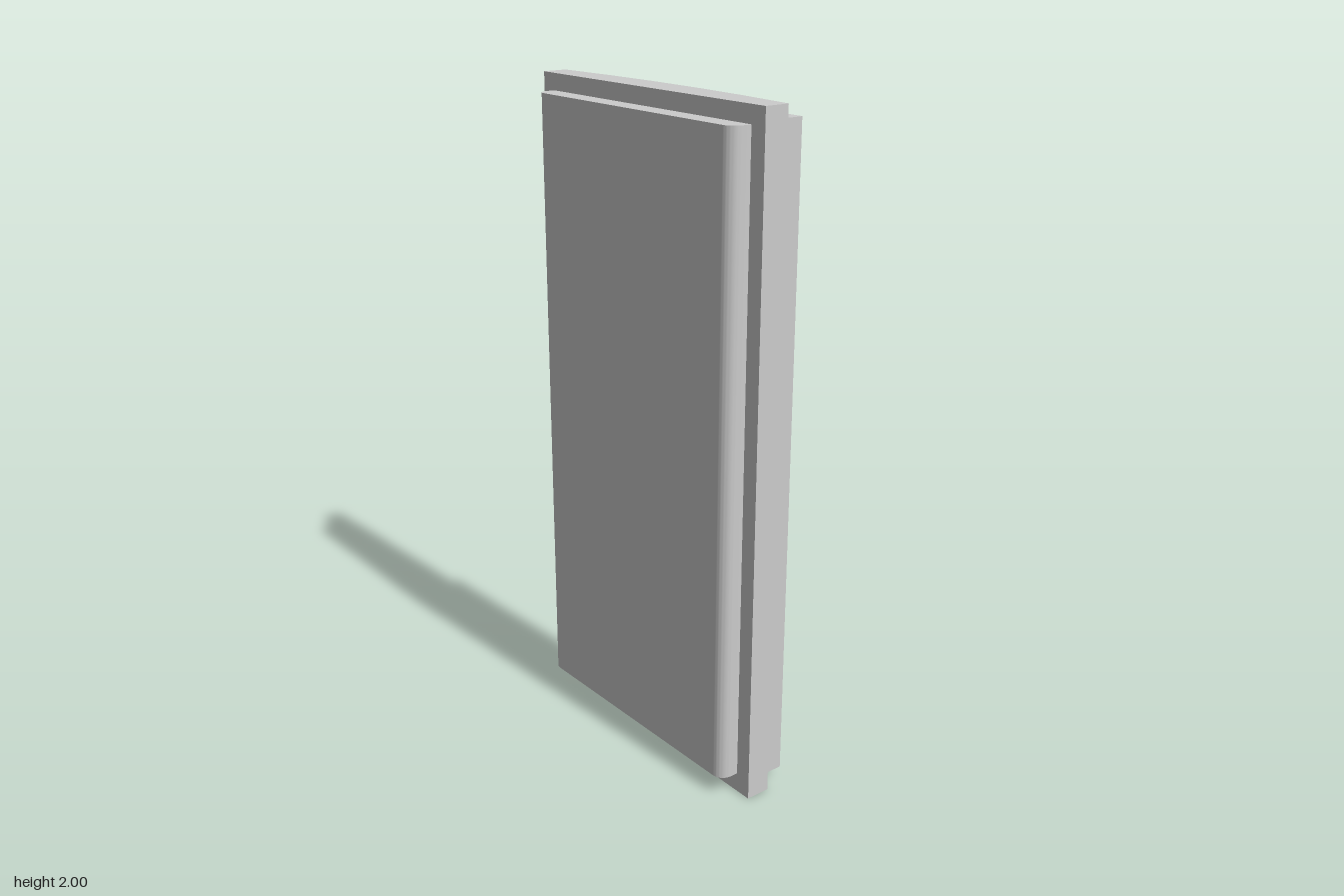
import * as THREE from 'three';
import { toCreasedNormals } from 'three/addons/utils/BufferGeometryUtils.js';

const WIDTH = 0.968, THICK = 0.076, BULGE = 0.0263;

export function createModel() {
  const model = new THREE.Group();
  model.name = 'curvedPanel';
  const material = new THREE.MeshStandardMaterial({ color: 0xcccccc });

  // All parts share one diagonal frame: x along the panel, shape y towards its back
  const body = new THREE.Group();
  body.name = 'panelAssembly';
  body.position.set(-0.396, 0, -0.304);
  body.rotation.y = -Math.atan2(0.66, 0.708);
  model.add(body);

  // Extrude a plan outline vertically from y0 to y1
  function addPart(name, shape, y0, y1) {
    const extruded = new THREE.ExtrudeGeometry(shape, {
      depth: y1 - y0, bevelEnabled: false, curveSegments: 6,
    });
    extruded.rotateX(-Math.PI / 2);
    extruded.translate(0, y0, 0);
    const mesh = new THREE.Mesh(toCreasedNormals(extruded, Math.PI / 6), material);
    mesh.name = name;
    body.add(mesh);
  }

  // Main panel: flat front, gently bowed back in five facets
  const panel = new THREE.Shape();
  panel.moveTo(0, 0);
  panel.lineTo(WIDTH, 0);
  const facets = 5;
  for (let i = facets; i >= 0; i--) {
    const t = i / facets;
    panel.lineTo(WIDTH * t, THICK + 4 * BULGE * t * (1 - t));
  }
  panel.closePath();
  addPart('panel', panel, 0, 2);

  // Raised front pad with rounded long edges
  const left = 0.051, right = 0.917, depth = 0.062, r = 0.037;
  const pad = new THREE.Shape();
  pad.moveTo(left, 0);
  pad.lineTo(left, r - depth);
  pad.absarc(left + r, r - depth, r, Math.PI, 1.5 * Math.PI, false);
  pad.absarc(right - r, r - depth, r, 1.5 * Math.PI, 2 * Math.PI, false);
  pad.lineTo(right, 0);
  pad.closePath();
  addPart('frontPad', pad, 0.06, 1.95);

  // L-shaped hook rail along one edge of the back
  const hook = new THREE.Shape([
    [0.888, 0.074], [0.942, 0.074], [0.942, 0.149],
    [0.849, 0.149], [0.849, 0.115], [0.888, 0.115],
  ].map(([x, y]) => new THREE.Vector2(x, y)));
  addPart('hookRail', hook, 0.035, 1.96);

  return model;
}
